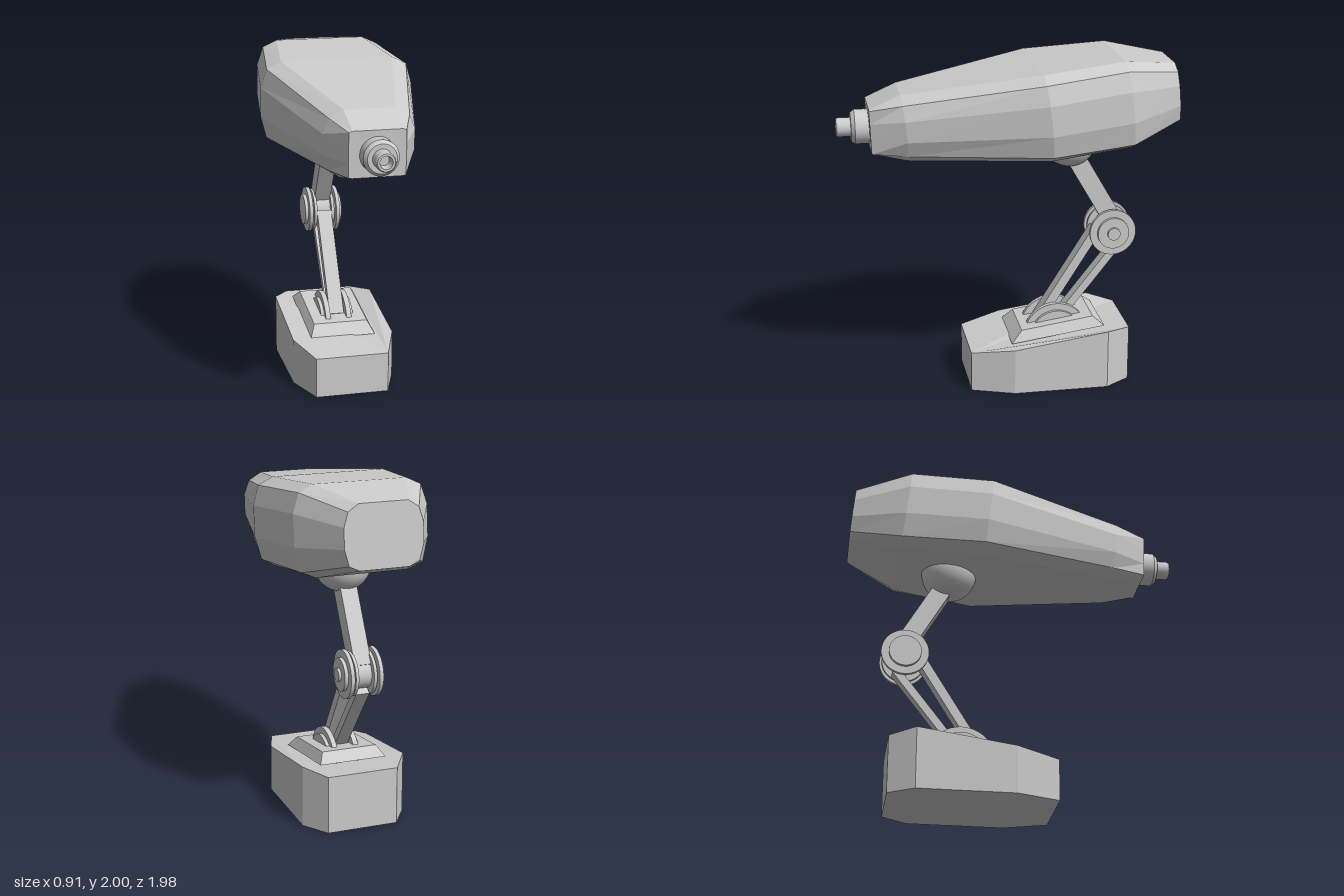
import * as THREE from 'three';

const flat = new THREE.MeshStandardMaterial({ color: 0xcccccc, flatShading: true });
const smooth = new THREE.MeshStandardMaterial({ color: 0xcccccc });
const smoothOpen = new THREE.MeshStandardMaterial({ color: 0xcccccc, side: THREE.DoubleSide });

// Complete a half outline (x > 0) with its mirror image
const mirrored = (half) => [...half, ...half.map(([x, y, z]) => [-x, y, z]).reverse()];

// Faceted solid through equal-sized rings, with both ends closed
function loft(rings) {
  const pos = [];
  const tri = (a, b, c) => pos.push(...a, ...b, ...c);
  const n = rings[0].length;
  for (let i = 0; i < rings.length - 1; i++) {
    const a = rings[i], b = rings[i + 1];
    for (let j = 0; j < n; j++) {
      const k = (j + 1) % n;
      tri(a[j], b[j], b[k]);
      tri(a[j], b[k], a[k]);
    }
  }
  const first = rings[0], last = rings[rings.length - 1];
  for (let j = 1; j < n - 1; j++) {
    tri(first[0], first[j], first[j + 1]);
    tri(last[0], last[j + 1], last[j]);
  }
  const g = new THREE.BufferGeometry();
  g.setAttribute('position', new THREE.Float32BufferAttribute(pos, 3));
  g.computeVertexNormals();
  return g;
}

export function createModel() {
  const model = new THREE.Group();
  const add = (name, geometry, material = flat) => {
    const m = new THREE.Mesh(geometry, material);
    m.name = name;
    model.add(m);
    return m;
  };

  // Disc on an x axis, from x0 to x1
  const disc = (name, r, x0, x1, y, z) => {
    const g = new THREE.CylinderGeometry(r, r, Math.abs(x1 - x0), 40).rotateZ(Math.PI / 2);
    add(name, g, smooth).position.set((x0 + x1) / 2, y, z);
  };

  // Straight bar between two points [y, z]
  const bar = (name, [y0, z0], [y1, z1], width, depth) => {
    const m = add(name, new THREE.BoxGeometry(width, Math.hypot(y1 - y0, z1 - z0), depth));
    m.position.set(0, (y0 + y1) / 2, (z0 + z1) / 2);
    m.rotation.x = Math.atan2(z1 - z0, y1 - y0);
  };

  // Base block with a sloping top
  const baseTop = mirrored([
    [0.22, 0.244, 0.25], [0.31, 0.28, 0], [0.31, 0.361, -0.565], [0.21, 0.34, -0.715],
  ]);
  add('base', loft([baseTop, baseTop.map(([x, , z]) => [x, 0, z])]));

  // Bevelled plate on the slope
  add('basePlate', loft([
    mirrored([[0.165, 0.345, -0.065], [0.165, 0.408, -0.5]]),
    mirrored([[0.2, 0.275, 0], [0.2, 0.355, -0.565]]),
  ]));

  // Half-sunk discs either side of the arm foot
  for (const s of [-1, 1]) {
    disc('footDisc', 0.195, s * 0.05, s * 0.08, 0.272, -0.29);
    disc('footDiscCap', 0.155, s * 0.08, s * 0.1, 0.272, -0.29);
  }

  // Twin lower bars and single upper arm
  bar('lowerArmFront', [0.35, -0.19], [0.915, -0.542], 0.09, 0.055);
  bar('lowerArmRear', [0.35, -0.312], [0.82, -0.68], 0.08, 0.047);
  bar('upperArm', [1.43, -0.376], [0.95, -0.654], 0.1, 0.11);

  // Elbow joint
  const ey = 0.912, ez = -0.63;
  disc('elbowHub', 0.09, -0.07, 0.07, ey, ez);
  for (const s of [-1, 1]) {
    disc('elbowInnerDisc', 0.127, s * 0.045, s * 0.063, ey, ez);
    disc('elbowSpacer', 0.1, s * 0.06, s * 0.08, ey, ez);
    disc('elbowOuterDisc', 0.14, s * 0.074, s * 0.096, ey, ez);
    disc('elbowCap', 0.095, s * 0.096, s * 0.116, ey, ez);
  }
  disc('elbowKnob', 0.038, 0.11, 0.131, ey, ez);

  // Ball under the head
  add('neckBall', new THREE.SphereGeometry(0.165, 40, 24), smooth).position.set(0, 1.485, -0.375);

  // Faceted head: half sections bottom to top, from nose to back
  const sections = [
    [[0.14, 1.49, 0.8], [0.158, 1.493, 0.8], [0.16, 1.57, 0.803], [0.16, 1.67, 0.807], [0.158, 1.745, 0.81], [0.14, 1.752, 0.81]],
    [[0.16, 1.447, 0.6], [0.225, 1.49, 0.6], [0.26, 1.58, 0.605], [0.26, 1.7, 0.615], [0.225, 1.785, 0.625], [0.145, 1.83, 0.63]],
    [[0.34, 1.455, -0.2], [0.42, 1.498, -0.2], [0.455, 1.63, -0.19], [0.455, 1.805, -0.17], [0.42, 1.915, -0.155], [0.335, 1.957, -0.155]],
    [[0.27, 1.495, -0.68], [0.355, 1.533, -0.685], [0.39, 1.67, -0.67], [0.39, 1.85, -0.65], [0.355, 1.96, -0.638], [0.27, 2, -0.635]],
    [[0.14, 1.597, -0.99], [0.2, 1.625, -0.988], [0.225, 1.715, -0.981], [0.225, 1.83, -0.971], [0.2, 1.91, -0.964], [0.14, 1.95, -0.96]],
  ];
  add('head', loft(sections.map(mirrored)));

  // Stepped hollow nozzle; doubled points keep the edges crisp
  const profile = [
    [0.1, 0.78], [0.1, 0.885], [0.1, 0.885], [0.082, 0.907], [0.082, 0.907], [0.055, 0.907], [0.055, 0.907],
    [0.055, 0.98], [0.055, 0.98], [0.049, 0.99], [0.049, 0.99], [0.036, 0.99], [0.036, 0.99],
    [0.03, 0.93], [0.03, 0.93], [0, 0.93],
  ].map(([r, z]) => new THREE.Vector2(r, z));
  const nozzle = add('nozzle', new THREE.LatheGeometry(profile, 32), smoothOpen);
  nozzle.rotation.x = Math.PI / 2;
  nozzle.position.y = 1.617;

  return model;
}
